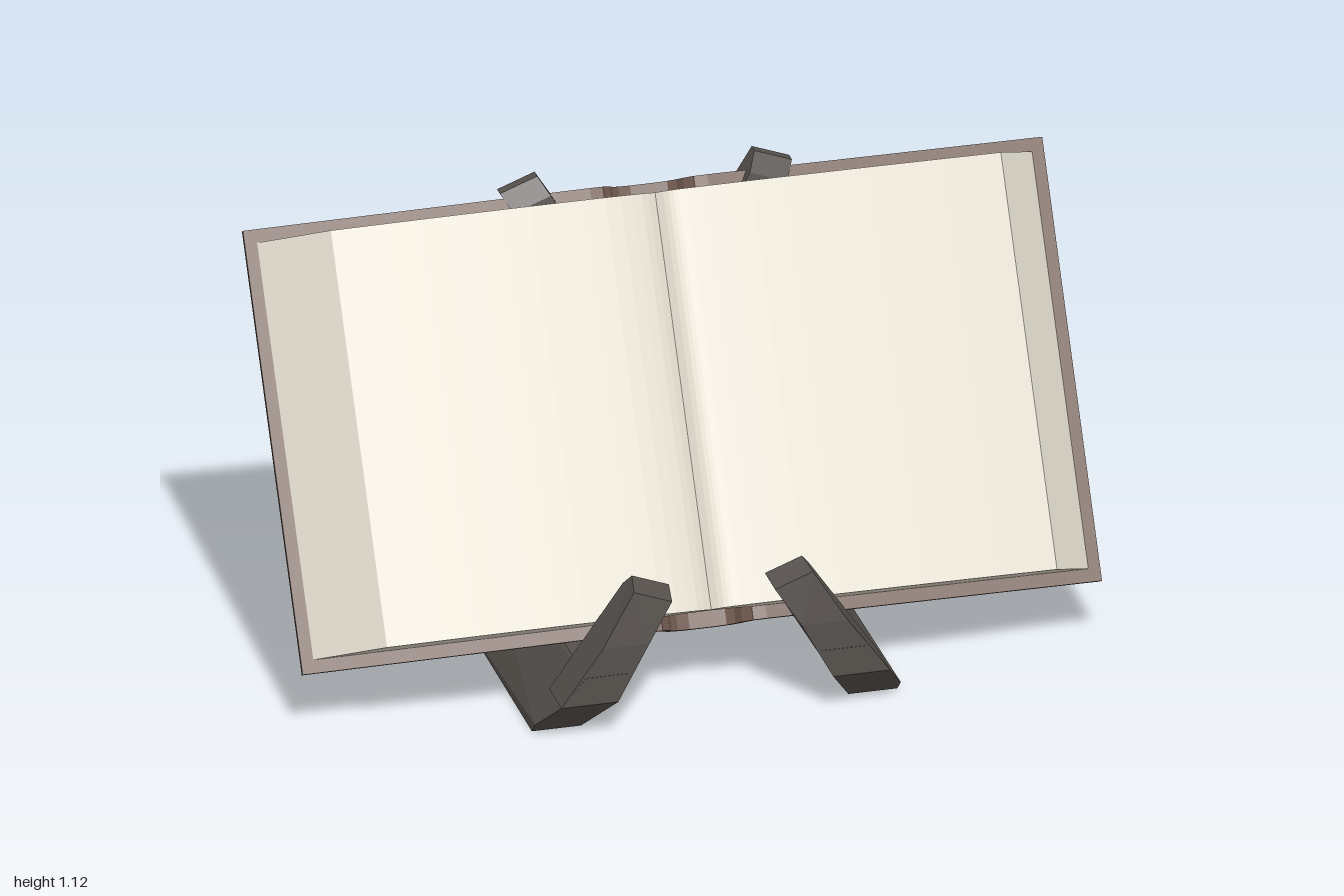
import * as THREE from 'three';

const mat = (color) => new THREE.MeshStandardMaterial({ color, flatShading: true });
const toVecs = (pts) => pts.map(([x, y]) => new THREE.Vector2(x, y));

// Extrudes an outline and centres it along its depth
function slab(points, depth) {
  const geo = new THREE.ExtrudeGeometry(new THREE.Shape(points), { depth, bevelEnabled: false });
  return geo.translate(0, 0, -depth / 2);
}

// Thickens an open line by offsetting it along its normals
function strip(points, thickness) {
  const offset = points.map((p, i) => {
    const a = points[Math.max(i - 1, 0)], b = points[Math.min(i + 1, points.length - 1)];
    const d = b.clone().sub(a).normalize();
    return new THREE.Vector2(p.x - d.y * thickness, p.y + d.x * thickness);
  });
  return [...points, ...offset.reverse()];
}

// Leaning stand part: profile is (z, y), width(y) its horizontal thickness
function leaningPart(name, profile, width, material) {
  const geo = slab(toVecs(profile), 1).rotateY(-Math.PI / 2);
  const pos = geo.attributes.position;
  for (let i = 0; i < pos.count; i++) {
    const y = pos.getY(i), outer = pos.getX(i) > 0;
    const side = pos.getX(i) * width(y);
    const leanY = outer ? Math.max(y, 0.03) : y; // outer lower edge stands upright
    pos.setX(i, 0.39 - 0.63 * leanY + side);
    if (y > 0.3 && y !== 0.6) pos.setY(i, y + side * 0.38); // tips cut square to the lean
  }
  geo.computeVertexNormals();
  const mesh = new THREE.Mesh(geo, material);
  mesh.name = name;
  return mesh;
}

function createBracket(material) {
  const bracket = new THREE.Group();
  bracket.add(
    leaningPart('footBar', [
      [-0.255, 0], [0.39, 0], [0.42, 0.03], [0.49, 0.1], [0.49, 0.17],
      [-0.245, 0.17], [-0.25, 0.15], [-0.255, 0.03],
    ], (y) => (y > 0.16 ? 0.105 : 0.137), material),
    leaningPart('uprightLeg', [
      [-0.25, 0.12], [0.06, 0.12], [0.046, 0.17], [-0.068, 0.6],
      [-0.185, 1.07], [-0.225, 1.105], [-0.25, 1.105],
    ], () => 0.09, material),
    leaningPart('frontHook', [
      [0.38, 0.1], [0.49, 0.1], [0.488, 0.24], [0.47, 0.35], [0.41, 0.365], [0.395, 0.34],
    ], (y) => THREE.MathUtils.mapLinear(y, 0.1, 0.37, 0.137, 0.088), material),
  );
  return bracket;
}

function createBook() {
  const book = new THREE.Group();
  book.name = 'openBook';

  // Cover boards joined by a rounded spine
  const half = [[0.96, 0], [0.14, 0.062], [0.115, 0.06], [0.1, 0.045], [0.088, 0.02], [0.065, 0.002], [0.03, -0.007]];
  const line = [...half.map(([x, y]) => [-x, y]), ...half.slice().reverse()];
  const cover = new THREE.Mesh(slab(strip(toVecs(line), 0.015), 1.043).rotateX(Math.PI / 2), mat(0x6e574c));
  cover.name = 'cover';

  // Page block: curved leaves on both sides of the gutter
  const leaf = (pts) => new THREE.SplineCurve(toVecs(pts)).getPoints(16);
  const left = leaf([[-0.782, 0.136], [-0.56, 0.153], [-0.35, 0.159], [-0.145, 0.154], [-0.04, 0.141], [0, 0.126]]);
  const right = leaf([[0, 0.126], [0.03, 0.146], [0.08, 0.154], [0.27, 0.154], [0.587, 0.136], [0.835, 0.111]]);
  const outline = [
    ...toVecs([[-0.932, 0.017]]), ...left, ...right.slice(1),
    ...toVecs([[0.932, 0.017], [0.14, 0.077], [0.1, 0.078], [0.06, 0.098], [0, 0.108],
      [-0.06, 0.098], [-0.1, 0.078], [-0.14, 0.077]]),
  ];
  const pages = new THREE.Mesh(slab(outline, 0.98).rotateX(Math.PI / 2), mat(0xded8ca));
  pages.name = 'pages';

  book.add(cover, pages);
  book.position.y = 0.6;
  book.rotation.x = -0.539;
  return book;
}

export function createModel() {
  const model = new THREE.Group();
  model.name = 'bookOnStand';

  // Folding stand: two mirrored, crossing brackets
  const standMat = mat(0x55504c);
  for (const side of [1, -1]) {
    const bracket = createBracket(standMat);
    bracket.name = side > 0 ? 'leftBracket' : 'rightBracket';
    bracket.scale.x = side;
    model.add(bracket);
  }
  model.add(createBook());

  // The whole display is turned slightly
  model.rotation.y = -0.295;
  model.position.z = -0.025;
  const root = new THREE.Group();
  root.name = 'bookDisplay';
  root.add(model);
  return root;
}
